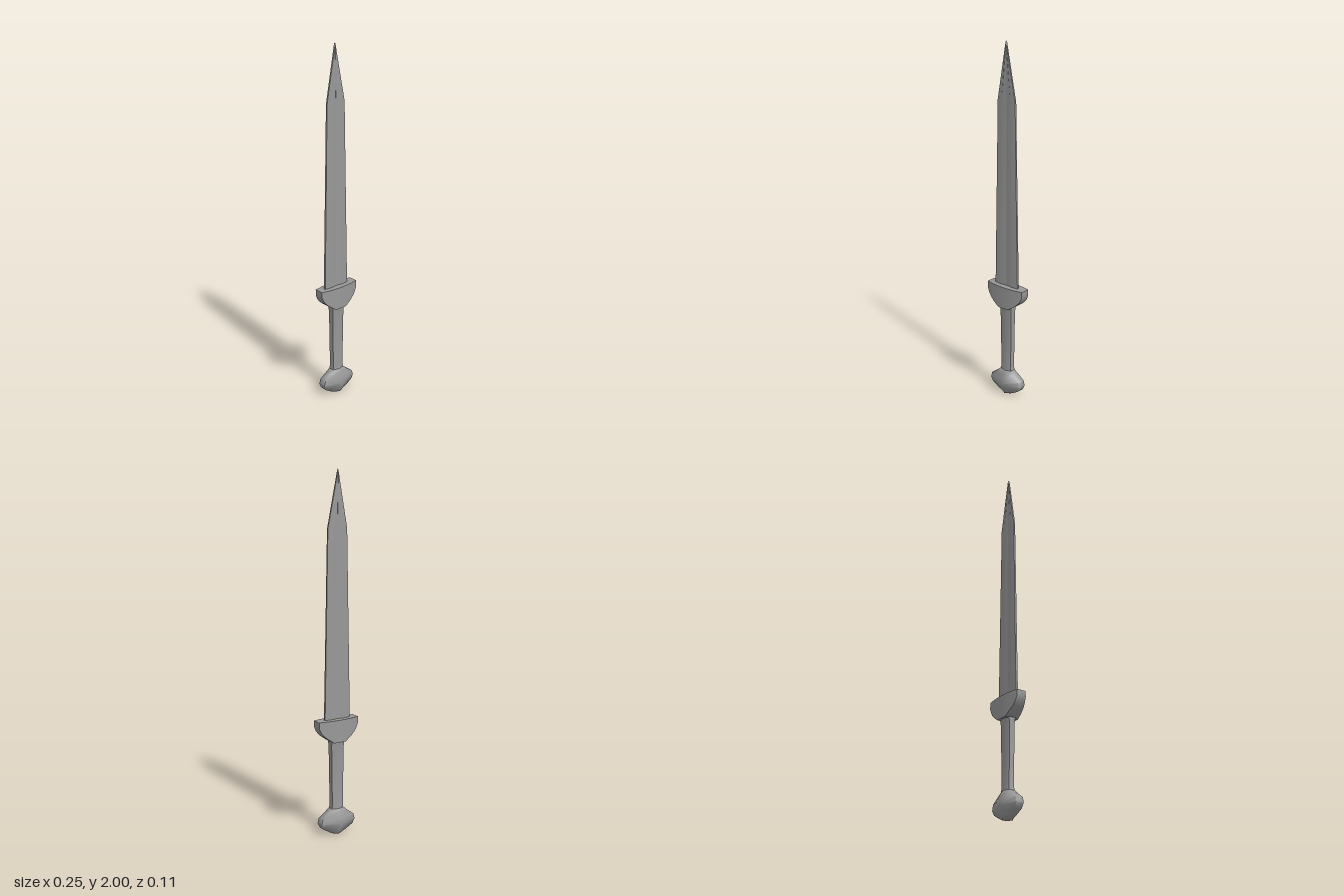
import * as THREE from 'three';
import { toCreasedNormals } from 'three/addons/utils/BufferGeometryUtils.js';

const material = new THREE.MeshStandardMaterial({ color: 0x989898 });

// Skins a stack of rings (bottom to top, each counter-clockwise from above) and caps both ends.
function loft(name, rings, crease) {
  const n = rings[0].length;
  const positions = rings.flat(2);
  const index = [];
  for (let r = 0; r < rings.length - 1; r++) {
    for (let i = 0; i < n; i++) {
      const a = r * n + i, b = r * n + (i + 1) % n;
      index.push(a, b, b + n, a, b + n, a + n);
    }
  }
  for (const [r, flip] of [[0, true], [rings.length - 1, false]]) {
    const centre = positions.length / 3;
    for (let k = 0; k < 3; k++) {
      positions.push(rings[r].reduce((sum, p) => sum + p[k], 0) / n);
    }
    for (let i = 0; i < n; i++) {
      const a = r * n + i, b = r * n + (i + 1) % n;
      index.push(centre, flip ? b : a, flip ? a : b);
    }
  }
  const geometry = new THREE.BufferGeometry();
  geometry.setAttribute('position', new THREE.Float32BufferAttribute(positions, 3));
  geometry.setIndex(index);
  const mesh = new THREE.Mesh(toCreasedNormals(geometry, crease), material);
  mesh.name = name;
  return mesh;
}

// Closed ring from a half outline of [x, z] running from +x to -x, mirrored front to back.
function mirroredRing(y, half, cx = 0) {
  const back = half.map(([x, z]) => [cx + x, y, -z]);
  const front = half.map(([x, z]) => [cx + x, y, z]).reverse();
  return [...back, ...front];
}

// Blade: thin edges, two thick shoulders and a shallow central groove
function bladeRing([y, w, cx, t]) {
  return mirroredRing(y, [
    [w, 0.006 * t], [w * 0.5, 0.01 * t], [0, 0.005 * t], [-w * 0.5, 0.01 * t], [-w, 0.006 * t],
  ], cx);
}

// Guard: bowed front and back, narrower at the ends
function guardRing([y, w]) {
  const half = [];
  for (let i = 0; i <= 10; i++) {
    const x = w * (1 - i / 5);
    half.push([x, 0.042 - 0.015 * (x / 0.125) ** 2]);
  }
  return mirroredRing(y, half);
}

// Handle: six-sided with a ridge down the middle of front and back
function handleRing([y, w, ridge, side]) {
  return mirroredRing(y, [[w, side], [0, ridge], [-w, side]]);
}

export function createModel() {
  const group = new THREE.Group();
  group.name = 'shortSword';

  // y, half width, centre x, thickness factor
  group.add(loft('blade', [
    [0.64, 0.08, -0.005, 1],
    [1.69, 0.06, -0.006, 0.75],
    [1.995, 0.002, -0.01, 0.5],
    [2, 0.0005, -0.01, 0.05],
  ].map(bladeRing), 0.24));

  // y, half width
  group.add(loft('guard', [
    [0.53, 0.036], [0.54, 0.05], [0.555, 0.073], [0.575, 0.096],
    [0.595, 0.112], [0.622, 0.125], [0.656, 0.125],
  ].map(guardRing), 0.6));

  // y, half width, ridge depth, side depth
  group.add(loft('grip', [
    [0.13, 0.039, 0.03, 0.017],
    [0.165, 0.034, 0.027, 0.015],
    [0.3, 0.036, 0.027, 0.015],
    [0.5, 0.039, 0.028, 0.016],
    [0.535, 0.041, 0.033, 0.02],
  ].map(handleRing), 0.85));

  group.add(loft('pommel', [
    [0, 0.028, 0.03, 0.012],
    [0.013, 0.054, 0.036, 0.016],
    [0.038, 0.094, 0.046, 0.02],
    [0.065, 0.108, 0.054, 0.022],
    [0.095, 0.1, 0.046, 0.022],
    [0.125, 0.06, 0.036, 0.02],
    [0.145, 0.038, 0.029, 0.016],
  ].map(handleRing), 1.3));

  return group;
}
